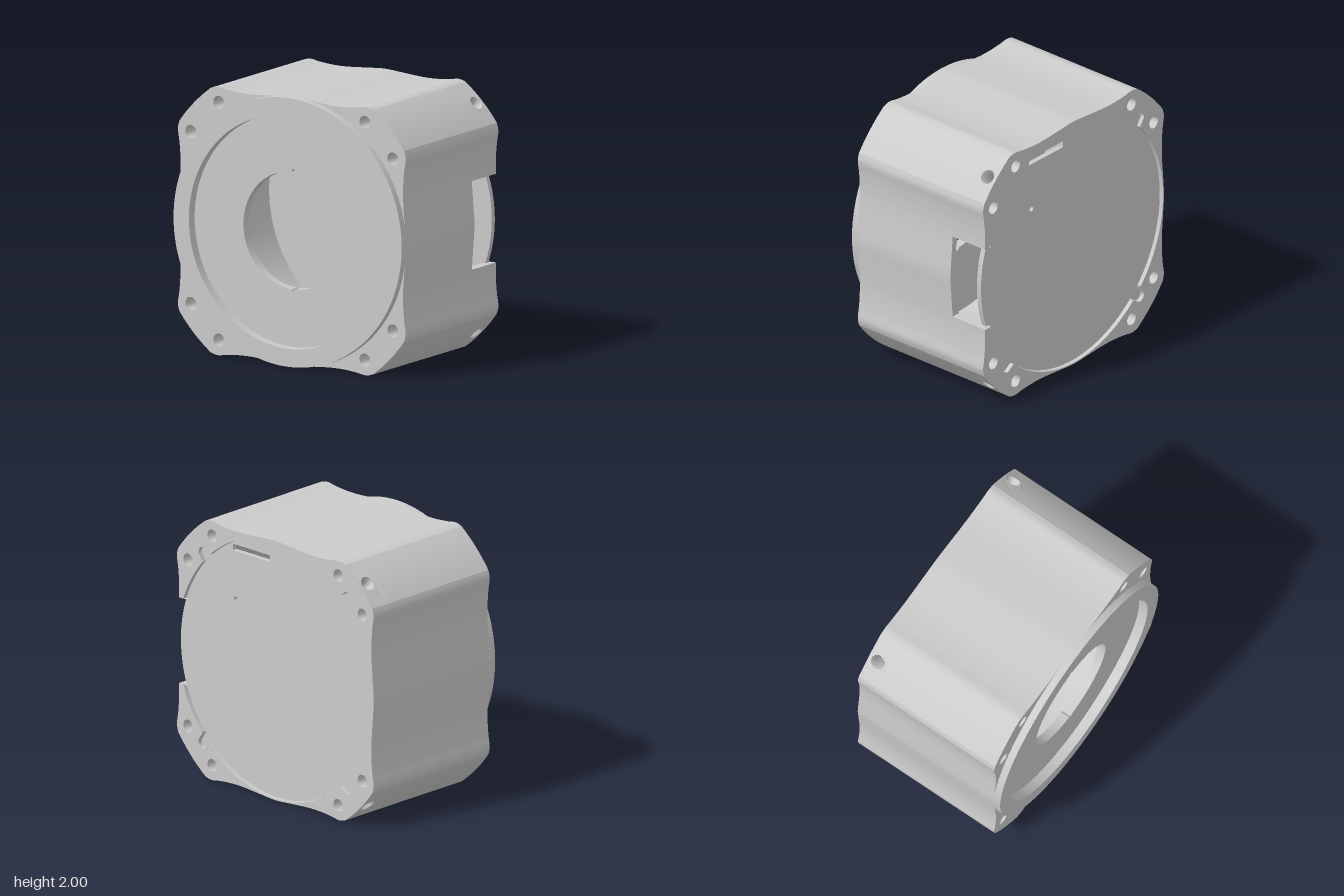
import * as THREE from 'three';

const FRONT = 0.58, RIM = 0.635, DISH = 0.56, BACK = -0.635, SILL = -0.32, WIN = 0.33;
const BORE = 0.965, OPENING = 0.99, TAU = Math.PI * 2;
const material = new THREE.MeshStandardMaterial({ color: 0xcccccc, side: THREE.DoubleSide });

const V = (x, y) => new THREE.Vector2(x, y);
const turn = (pts, q) => pts.map(p => p.clone().rotateAround(V(0, 0), q * Math.PI / 2));

// Points on a polar curve r(angle)
function polar(r, a0 = 0, a1 = TAU, n = 360) {
  return Array.from({ length: n + 1 }, (_, i) => {
    const a = a0 + (a1 - a0) * i / n;
    return V(r(a) * Math.cos(a), r(a) * Math.sin(a));
  });
}
const circle = r => polar(() => r);

// Surface between two equal-length rows of points at two depths
function loft(a, za, b, zb) {
  const pos = [], index = [];
  a.forEach((p, i) => pos.push(p.x, p.y, za, b[i].x, b[i].y, zb));
  for (let i = 0; i < a.length - 1; i++) {
    const k = 2 * i;
    index.push(k, k + 2, k + 1, k + 1, k + 2, k + 3);
  }
  const g = new THREE.BufferGeometry();
  g.setAttribute('position', new THREE.Float32BufferAttribute(pos, 3));
  g.setIndex(index);
  g.computeVertexNormals();
  return g;
}
const wall = (pts, z0, z1) => loft(pts, z0, pts, z1);

function face(outline, holes, z) {
  const s = new THREE.Shape(outline);
  holes.forEach(h => s.holes.push(new THREE.Path(h)));
  return new THREE.ShapeGeometry(s, 24).translate(0, 0, z);
}

// Gently concave side on +x, running upward
const half = [V(1, 0), V(0.99, 0.15), V(0.977, WIN), V(0.977, 0.45), V(0.986, 0.56), V(0.999, 0.65), V(0.985, 0.71)];
const mirrored = half.slice(1).reverse().map(p => V(p.x, -p.y));
const side = new THREE.SplineCurve([...mirrored, ...half]).getPoints(72);
const sideTop = [V(0.977, WIN), ...side.filter(p => p.y > WIN + 0.005)];
const sideBottom = sideTop.map(p => V(p.x, -p.y)).reverse();
const sill = [V(0.977, -WIN), ...side.filter(p => Math.abs(p.y) < WIN - 0.005), V(0.977, WIN)];

// Slightly bowed corner: s runs along the corner face
const CW = 0.1945, PATCH = -0.46, SINK = 0.055;
const corner = s => {
  const d = 1.695 / Math.SQRT2 + 0.015 * (1 - (s / CW) ** 2);
  return V((d - s) / Math.SQRT2, (d + s) / Math.SQRT2);
};
const steps = Array.from({ length: 13 }, (_, i) => -CW + 2 * CW * i / 12);
const cornerPts = steps.map(corner);

// Rear patch of the corner face with a round side hole
function cornerPatch() {
  const edge = [...steps.map(s => V(s, BACK)), ...[...steps].reverse().map(s => V(s, PATCH))];
  const hole = polar(() => SINK, 0, TAU, 24).slice(0, -1).map(p => V(p.x, p.y - 0.555));
  const g = face(edge, [hole], 0);
  const p = g.attributes.position;
  for (let i = 0; i < p.count; i++) {
    const c = corner(p.getX(i));
    p.setXYZ(i, c.x, c.y, p.getY(i));
  }
  g.computeVertexNormals();
  return g;
}

// Back opening with a small rounded ear at each corner
const eared = grow => a => {
  const q = ((a % (Math.PI / 2)) + Math.PI / 2) % (Math.PI / 2);
  const d = 1.03 * Math.abs(q - Math.PI / 4);
  return d < 0.05 ? 1.03 + Math.sqrt(0.0025 - d * d) + grow : OPENING + grow;
};
// Throat with a small notch at top and bottom
const throat = polar(a => {
  const d = (Math.abs(Math.sin(a)) > 0.9 ? Math.abs(Math.cos(a)) : 1) / 0.035;
  return 0.437 + 0.022 * Math.sqrt(Math.max(0, 1 - d * d));
});

export function createModel() {
  const model = new THREE.Group();
  const body = new THREE.Group();
  body.name = 'housing';
  body.position.y = 1;
  model.add(body);
  const add = (name, geometry) => {
    const m = new THREE.Mesh(geometry, material);
    m.name = name;
    body.add(m);
  };

  // Outer walls
  for (let q = 0; q < 4; q++) {
    add('cornerWall', wall(turn(cornerPts, q), PATCH, FRONT));
    add('cornerPatch', cornerPatch().rotateZ(q * Math.PI / 2));
    if (q) add('sideWall', wall(turn(side, q), BACK, FRONT));
  }
  add('sideWall', wall(side, SILL, FRONT));
  add('sideWallAboveWindow', wall(sideTop, BACK, SILL));
  add('sideWallBelowWindow', wall(sideBottom, BACK, SILL));

  // Bolt holes and countersunk angled corner holes
  const bolts = [];
  const sinkProfile = [V(0.035, 1.08), V(0.035, 1.16), V(SINK, 1.213)];
  for (let q = 0; q < 4; q++) {
    for (const p of turn([V(0.64, 0.885), V(0.885, 0.64)], q)) {
      bolts.push(polar(() => 0.048, 0, TAU, 24).slice(0, -1).map(c => c.add(p)));
      add('boltHole', new THREE.CylinderGeometry(0.048, 0.048, FRONT - BACK, 24, 1, true)
        .rotateX(Math.PI / 2).translate(p.x, p.y, (FRONT + BACK) / 2));
      add('boltHoleFloor', new THREE.CircleGeometry(0.048, 24).translate(p.x, p.y, 0));
    }
    add('cornerHole', new THREE.LatheGeometry(sinkProfile, 24)
      .rotateZ(-Math.PI / 4).translate(0, 0, -0.555).rotateZ(q * Math.PI / 2));
  }

  // Front and back faces
  const around = [...cornerPts.slice(1), ...[1, 2, 3].flatMap(q =>
    [...turn(side, q).slice(1), ...turn(cornerPts, q).slice(1)])];
  add('frontFace', face([...side, ...around.slice(0, -1)], [circle(BORE).slice(0, -1), ...bolts], FRONT));
  const backGap = Math.asin(WIN / OPENING), gap = Math.asin(WIN / BORE);
  const opening = polar(eared(0), backGap, TAU - backGap);
  add('backFace', face([...sideTop, ...around, ...sideBottom.slice(1), ...[...opening].reverse()], bolts, BACK));

  // Hollow interior
  add('boreFront', wall(circle(BORE).reverse(), SILL, FRONT));
  add('boreBack', wall(polar(() => BORE, gap, TAU - gap).reverse(), -0.565, SILL));
  add('backOpening', wall([...opening].reverse(), BACK, -0.565));

  // Side window edges
  add('windowSill', face([...sill, ...polar(() => BORE, gap, -gap, 24)], [], SILL));
  const inner = BORE * Math.cos(gap);
  for (const y of [-WIN, WIN]) {
    add('windowCheek', wall([V(inner, y), V(0.977, y)], BACK, SILL));
  }

  // Front ring with a stepped flat recess and throat
  add('rimEdge', wall(circle(1), FRONT, RIM));
  add('rim', loft(circle(1), RIM, circle(0.865), RIM));
  add('rimStep', wall(circle(0.865).reverse(), DISH, RIM));
  add('dish', loft(circle(0.865), DISH, throat, DISH));
  add('throat', wall([...throat].reverse(), 0.49, DISH));
  add('dishBack', loft(throat, 0.49, circle(BORE), 0.49));

  // Recessed back plate with a slot and a pin hole
  const plate = new THREE.Shape(polar(eared(-0.003)).slice(0, -1));
  plate.holes.push(new THREE.Path([V(0.08, 0.81), V(0.46, 0.81), V(0.46, 0.86), V(0.08, 0.86)]));
  plate.holes.push(new THREE.Path().absarc(0.43, 0.44, 0.02, 0, TAU, true));
  add('backPlate', new THREE.ExtrudeGeometry(plate, { depth: 0.04, bevelEnabled: false, curveSegments: 16 })
    .translate(0, 0, -0.605));

  return model;
}
